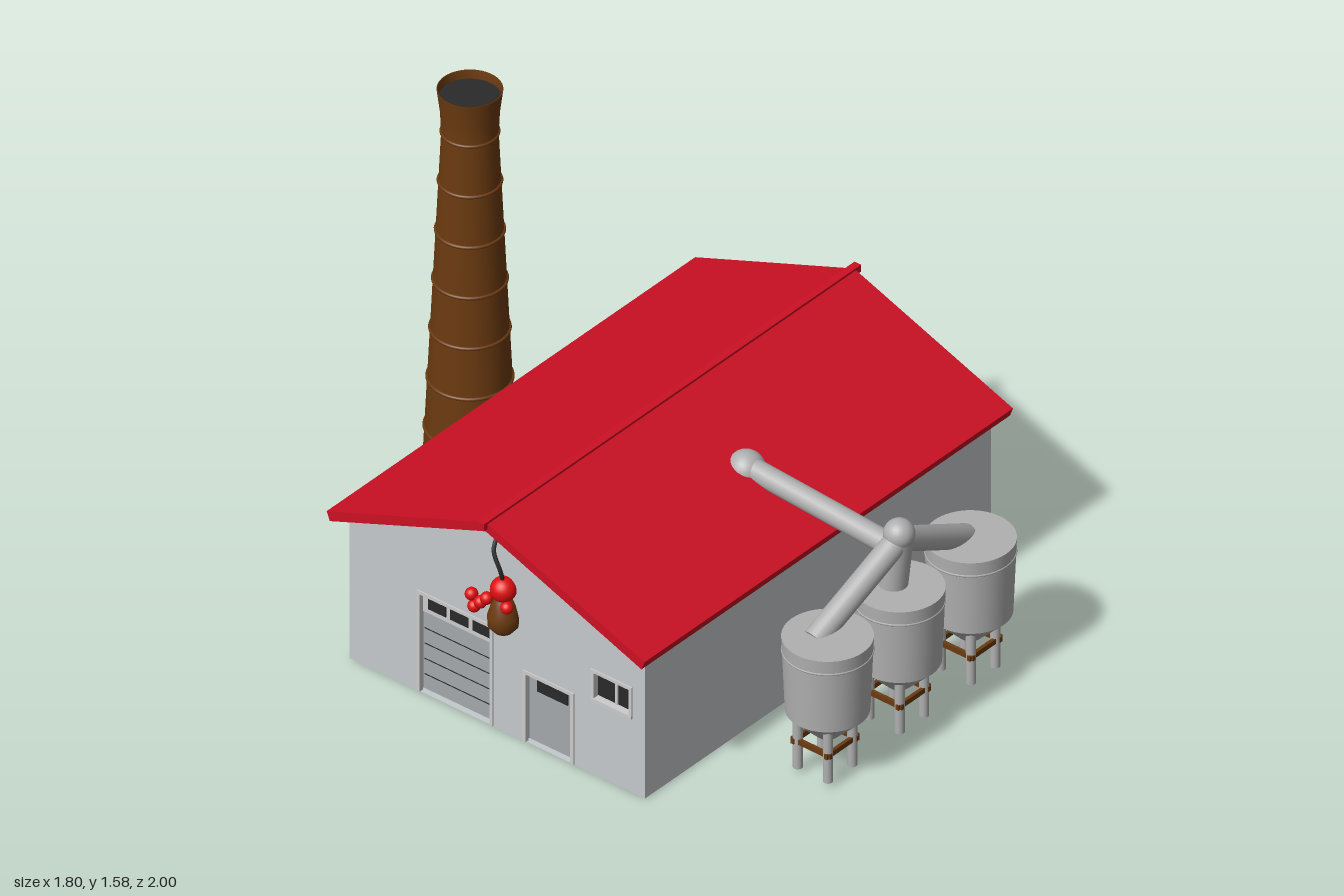
import * as THREE from 'three';

const mat = (color, side = THREE.FrontSide) => new THREE.MeshStandardMaterial({ color, side });
const WALL = mat(0xc4c9cc), STEEL = mat(0xb0b0b0), RED = mat(0xcc1024), BROWN = mat(0x6b3a10, THREE.DoubleSide);
const DARK = mat(0x2a2a2a), LIGHT = mat(0xdddddd), DOOR = mat(0xa4a8aa), BALL = mat(0xe01010);

function add(parent, name, geometry, material, x = 0, y = 0, z = 0) {
  const mesh = new THREE.Mesh(geometry, material);
  mesh.name = name;
  mesh.position.set(x, y, z);
  parent.add(mesh);
  return mesh;
}

const box = (parent, name, material, w, h, d, x, y, z) =>
  add(parent, name, new THREE.BoxGeometry(w, h, d), material, x, y, z);

const ball = (parent, name, material, r, x, y, z) =>
  add(parent, name, new THREE.SphereGeometry(r, 24, 16), material, x, y, z);

const lathe = (points) => new THREE.LatheGeometry(points.map(([r, y]) => new THREE.Vector2(r, y)), 40);

// Straight round pipe between two points
function pipe(parent, name, material, from, to, r) {
  const a = new THREE.Vector3(...from), b = new THREE.Vector3(...to);
  const mesh = add(parent, name, new THREE.CylinderGeometry(r, r, a.distanceTo(b), 24), material);
  mesh.position.copy(a).add(b).multiplyScalar(0.5);
  mesh.quaternion.setFromUnitVectors(new THREE.Vector3(0, 1, 0), b.sub(a).normalize());
}

// Extrudes a (z, y) outline along x, with optional rectangular holes [z0, z1, y0, y1]
function extrudeX(points, x0, x1, holes = []) {
  const shape = new THREE.Shape(points.map(([z, y]) => new THREE.Vector2(z, y)));
  for (const [z0, z1, y0, y1] of holes) {
    shape.holes.push(new THREE.Path([[z0, y0], [z0, y1], [z1, y1], [z1, y0]].map((p) => new THREE.Vector2(...p))));
  }
  return new THREE.ExtrudeGeometry(shape, { depth: x1 - x0, bevelEnabled: false })
    .rotateY(-Math.PI / 2).translate(x1, 0, 0);
}

function buildHall(parent) {
  const hall = new THREE.Group();
  hall.name = 'hall';
  parent.add(hall);

  // Solid gabled body, then a thin end wall with openings
  const gable = [[0.536, 0], [0.536, 0.55], [-0.05, 0.772], [-0.636, 0.55], [-0.636, 0]];
  const openings = [[-0.36, -0.07, 0.002, 0.37], [0.06, 0.25, 0.002, 0.26], [0.33, 0.48, 0.28, 0.385]];
  add(hall, 'hallBody', extrudeX(gable, -0.795, 0.825), WALL);
  add(hall, 'endWall', extrudeX(gable, -0.827, -0.795, openings), WALL);

  // Roof and ridge bar
  const roof = [[0.58, 0.556], [-0.05, 0.795], [-0.68, 0.556], [-0.668, 0.524], [-0.05, 0.762], [0.568, 0.524]];
  add(hall, 'roof', extrudeX(roof, -0.882, 0.876), RED);
  box(hall, 'ridgeBar', RED, 1.8, 0.026, 0.026, 0, 0.787, -0.055);

  // Red trim around the back corner
  box(hall, 'cornerTrim', RED, 0.06, 0.53, 0.06, 0.8, 0.265, -0.61);

  // Frames around the openings
  const x = -0.824, t = 0.012;
  for (const [z0, z1, y0, y1] of openings) {
    const zc = (z0 + z1) / 2, yc = (y0 + y1) / 2;
    for (const z of [z0, z1]) box(hall, 'frameSide', LIGHT, 0.016, y1 - y0, t, x, yc, z);
    box(hall, 'frameTop', LIGHT, 0.016, t, z1 - z0 + t, x, y1, zc);
    if (y0 > 0.1) box(hall, 'frameSill', LIGHT, 0.02, t, z1 - z0 + t, x, y0, zc);
  }

  // Large door with a row of panes above
  box(hall, 'largeDoor', DOOR, 0.012, 0.285, 0.29, -0.8, 0.145, -0.215);
  for (let i = 1; i < 5; i++) box(hall, 'doorGroove', DARK, 0.003, 0.003, 0.28, -0.806, i * 0.057, -0.215);
  box(hall, 'transom', LIGHT, 0.014, 0.085, 0.29, -0.8, 0.33, -0.215);
  for (let i = -1; i <= 1; i++) box(hall, 'transomPane', DARK, 0.006, 0.05, 0.07, -0.807, 0.33, -0.215 + i * 0.088);
  box(hall, 'doorstep', DARK, 0.06, 0.006, 0.33, -0.76, 0, -0.215);

  // Small door and window
  box(hall, 'smallDoor', DOOR, 0.012, 0.26, 0.19, -0.8, 0.13, 0.155);
  box(hall, 'smallDoorPane', DARK, 0.005, 0.045, 0.12, -0.808, 0.215, 0.155);
  box(hall, 'windowPane', DARK, 0.01, 0.105, 0.15, -0.797, 0.3325, 0.405);
  box(hall, 'windowBar', LIGHT, 0.012, 0.105, 0.01, -0.8, 0.3325, 0.405);
}

function buildChimney(parent) {
  const chimney = new THREE.Group();
  chimney.name = 'chimney';
  chimney.position.z = -0.845;
  parent.add(chimney);

  const radius = (y) => 0.155 - 0.0475 * y;
  add(chimney, 'shaft', lathe([[radius(0), 0], [radius(0.7), 0.7], [0.088, 1.42], [0.092, 1.5], [0.102, 1.58]]), BROWN);
  add(chimney, 'innerRim', lathe([[0.102, 1.58], [0.098, 1.58], [0.096, 1.545]]), BROWN);
  add(chimney, 'base', new THREE.CircleGeometry(0.155, 40).rotateX(Math.PI / 2), BROWN);
  add(chimney, 'opening', new THREE.CircleGeometry(0.098, 40).rotateX(-Math.PI / 2), DARK, 0, 1.55, 0);
  for (let i = 0; i < 8; i++) {
    const y = 0.15 + i * 0.182;
    add(chimney, 'band', new THREE.TorusGeometry(radius(y), 0.006, 8, 40).rotateX(Math.PI / 2), BROWN, 0, y, 0);
  }
}

function buildTank(parent, x) {
  const tank = new THREE.Group();
  tank.name = 'tank';
  tank.position.set(x, 0, 0.857);
  parent.add(tank);

  // Vessel, outlet cone and top band
  add(tank, 'vessel', new THREE.CylinderGeometry(0.142, 0.131, 0.27, 40), STEEL, 0, 0.355, 0);
  add(tank, 'cone', new THREE.CylinderGeometry(0.131, 0.035, 0.095, 40), STEEL, 0, 0.1725, 0);
  add(tank, 'topBand', new THREE.TorusGeometry(0.139, 0.004, 6, 40).rotateX(Math.PI / 2), STEEL, 0, 0.44, 0);

  // Four legs tied by a square of braces
  const stand = new THREE.Group();
  stand.name = 'stand';
  stand.position.x = -0.012;
  tank.add(stand);
  for (const s of [-1, 1]) {
    for (const k of [-1, 1]) {
      add(stand, 'leg', new THREE.CylinderGeometry(0.016, 0.016, 0.19, 16), STEEL, s * 0.058, 0.108, k * 0.06);
    }
    box(stand, 'brace', BROWN, 0.156, 0.018, 0.012, 0, 0.114, s * 0.066);
    box(stand, 'brace', BROWN, 0.012, 0.018, 0.156, s * 0.064, 0.114, 0);
  }
}

function buildPipes(parent) {
  const pipes = new THREE.Group();
  pipes.name = 'pipes';
  parent.add(pipes);

  const hub = [0, 0.685, 0.857];
  ball(pipes, 'hub', STEEL, 0.05, ...hub);
  pipe(pipes, 'middlePipe', STEEL, hub, [0, 0.46, 0.83], 0.046);
  for (const s of [-1, 1]) pipe(pipes, 'sidePipe', STEEL, [0, 0.665, 0.855], [s * 0.36, 0.465, 0.82], 0.04);
  pipe(pipes, 'roofPipe', STEEL, [0, 0.625, 0.84], [0, 0.668, 0.25], 0.037);
  ball(pipes, 'roofJoint', STEEL, 0.062, 0, 0.655, 0.25);
}

// Pot with red balls hanging on the end wall
function buildHanging(parent) {
  const hanging = new THREE.Group();
  hanging.name = 'hangingPot';
  hanging.position.set(-0.845, 0, -0.01);
  parent.add(hanging);

  add(hanging, 'pot', lathe([[0, 0.39], [0.03, 0.392], [0.049, 0.415], [0.05, 0.45], [0.038, 0.49], [0.025, 0.515], [0, 0.515]]), BROWN);
  ball(hanging, 'largeBall', BALL, 0.042, 0, 0.545, 0);
  for (const [y, z] of [[0.5, -0.05], [0.475, -0.075], [0.45, -0.1], [0.49, -0.11], [0.5, 0.03]]) {
    ball(hanging, 'smallBall', BALL, 0.021, -0.02, y, z);
  }
  const hook = new THREE.CatmullRomCurve3([[0.02, 0.72, -0.04], [-0.01, 0.68, -0.03], [-0.015, 0.62, 0], [0, 0.57, 0]]
    .map((p) => new THREE.Vector3(...p)));
  add(hanging, 'hook', new THREE.TubeGeometry(hook, 16, 0.007, 8), DARK);
}

export function createModel() {
  const model = new THREE.Group();
  model.name = 'factory';
  buildHall(model);
  buildChimney(model);
  for (const x of [-0.342, 0, 0.34]) buildTank(model, x);
  buildPipes(model);
  buildHanging(model);
  return model;
}
